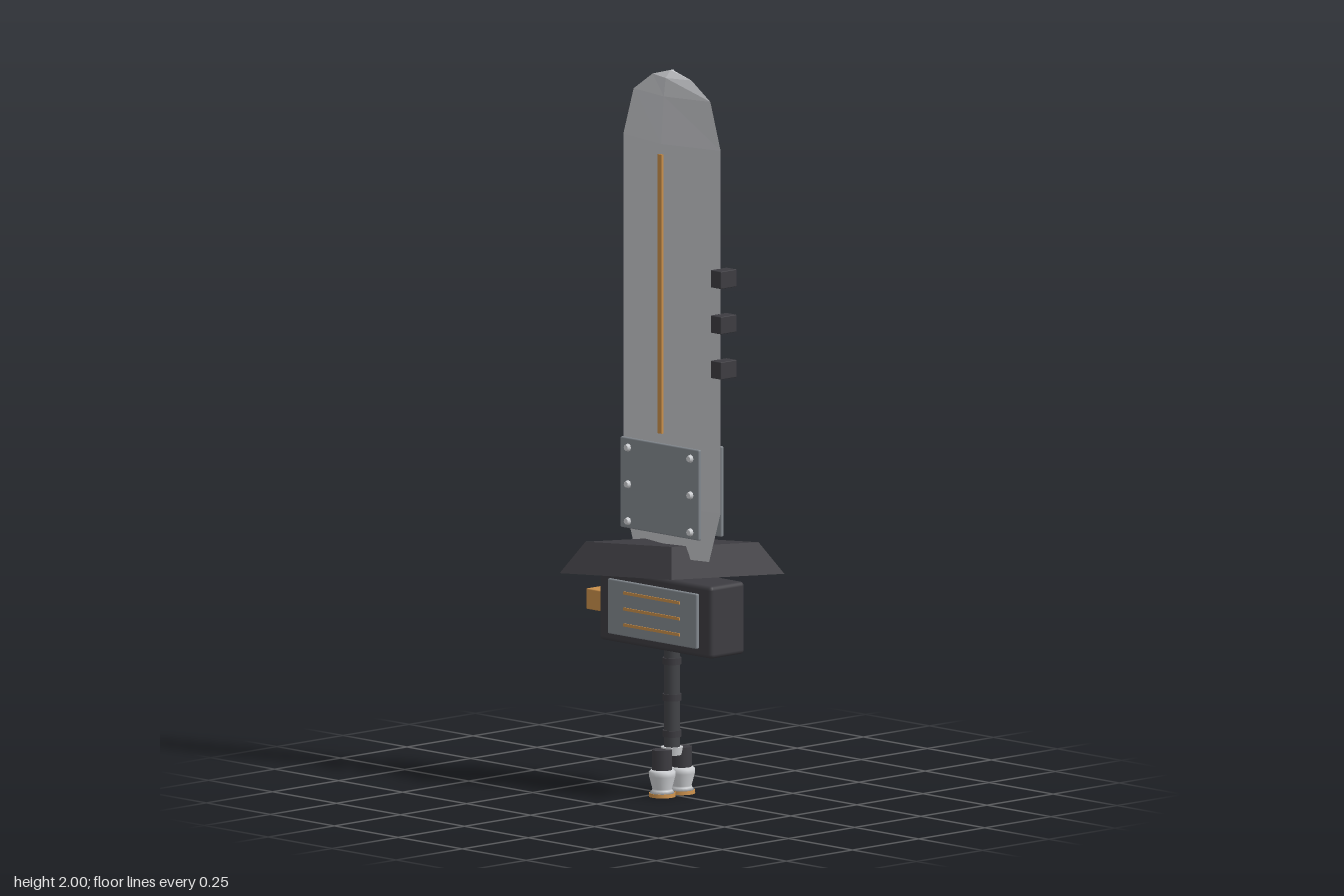
import * as THREE from 'three';
import { RoundedBoxGeometry } from 'three/addons/geometries/RoundedBoxGeometry.js';

const CZ = 0.036; // depth of the weapon's axis

const mat = (name, color, extra = {}) => {
  const m = new THREE.MeshStandardMaterial({ color, ...extra });
  m.name = name;
  return m;
};

// Loft closed rings of equal length into a faceted, capped solid
function loft(rings) {
  const n = rings[0].length, pos = [];
  const tri = (a, b, c) => pos.push(...a, ...b, ...c);
  for (let i = 0; i < rings.length - 1; i++) {
    for (let j = 0; j < n; j++) {
      const k = (j + 1) % n;
      const a = rings[i][j], b = rings[i][k], c = rings[i + 1][k], d = rings[i + 1][j];
      tri(a, d, c);
      tri(a, c, b);
    }
  }
  const lo = rings[0], hi = rings[rings.length - 1];
  for (let j = 1; j < n - 1; j++) {
    tri(lo[0], lo[j], lo[j + 1]);
    tri(hi[0], hi[j + 1], hi[j]);
  }
  const g = new THREE.BufferGeometry();
  g.setAttribute('position', new THREE.Float32BufferAttribute(pos, 3));
  g.computeVertexNormals();
  return g;
}

export function createModel() {
  const root = new THREE.Group();
  root.name = 'sword';
  const steel = mat('blade steel', 0xc4c5c9);
  const plate = mat('plate grey', 0x82888e);
  const dark = mat('dark metal', 0x3d3c41);
  const gripMat = mat('grip grey', 0x424347);
  const amber = mat('amber', 0xc98f4a);
  const pale = mat('pale metal', 0xcfd1d4);

  const add = (name, geo, material, x = 0, y = 0, z = CZ) => {
    const m = new THREE.Mesh(geo, material);
    m.name = name;
    m.position.set(x, y, z);
    root.add(m);
    return m;
  };
  const box = (w, h, d, r = 0) => r
    ? new RoundedBoxGeometry(w, h, d, 2, r) : new THREE.BoxGeometry(w, h, d);

  // Diamond-section blade: height, half depth, half thickness
  const sections = [
    [0.66, 0.145, 0.032], [0.70, 0.158, 0.034], [0.80, 0.19, 0.041], [1.80, 0.19, 0.041],
    [1.93, 0.15, 0.031], [1.98, 0.076, 0.024], [2.0, 0.002, 0.006],
  ];
  add('blade', loft(sections.map(([y, d, t]) =>
    [[t, y, 0], [0, y, d], [-t, y, 0], [0, y, -d]])), steel);

  // Guard: a tapering rhombus set diagonally
  const rhombus = (y, s) => [[0.216, 0.216], [-0.071, 0.071], [-0.216, -0.216], [0.071, -0.071]]
    .map(([x, z]) => [x * s, y, z * s]);
  add('guard', loft([rhombus(0.61, 1), rhombus(0.697, 0.77)]), dark);

  // Engine housing and rear plug
  add('housing', box(0.13, 0.2, 0.44, 0.012), dark, 0, 0.508);
  add('rearPlug', box(0.077, 0.057, 0.09, 0.003), amber, 0, 0.508, -0.215);

  // Teeth on the front edge of the blade
  for (const y of [1.2, 1.325, 1.45]) add('edgeTooth', box(0.06, 0.048, 0.04, 0.002), dark, 0, y, 0.238);

  // Details mirrored on both flanks
  for (const s of [1, -1]) {
    add('bladeStripe', box(0.012, 0.77, 0.016), amber, s * 0.041, 1.387);
    add('cheekPlate', box(0.011, 0.25, 0.308, 0.004), plate, s * 0.0425, 0.85);
    for (const y of [0.745, 0.847, 0.948]) {
      for (const z of [-0.122, 0.122]) {
        const bolt = add('bolt', new THREE.CylinderGeometry(0.008, 0.012, 0.01, 8), pale, s * 0.052, y, CZ + z);
        bolt.rotation.z = -s * Math.PI / 2;
      }
    }
    add('housingPanel', box(0.012, 0.152, 0.348, 0.004), plate, s * 0.07, 0.508);
    for (const y of [0.464, 0.508, 0.552]) {
      add('housingStripe', box(0.008, 0.008, 0.22), amber, s * 0.0755, y);
    }
  }

  // Grip with rings
  add('grip', new THREE.CylinderGeometry(0.022, 0.022, 0.29, 16), gripMat, 0, 0.27);
  for (const y of [0.17, 0.27, 0.37]) {
    add('gripRing', new THREE.CylinderGeometry(0.026, 0.026, 0.018, 16), dark, 0, y);
  }
  add('collar', new THREE.CylinderGeometry(0.03, 0.026, 0.022, 16), pale, 0, 0.122);

  // Twin exhausts below the grip
  const cup = [[0, 0.074], [0.03, 0.074], [0.037, 0.068], [0.036, 0.056], [0.027, 0.022],
    [0.028, 0.018], [0.035, 0.009], [0, 0.009]].reverse().map(([r, y]) => new THREE.Vector2(r, y));
  const cupMat = mat('pale metal', 0xcfd1d4);
  cupMat.dispose();
  for (const s of [1, -1]) {
    add('exhaustNeck', new THREE.CylinderGeometry(0.028, 0.028, 0.058, 12), dark, s * 0.037, 0.1);
    add('exhaustCup', new THREE.LatheGeometry(cup, 20), pale, s * 0.037);
    add('exhaustRim', new THREE.CylinderGeometry(0.036, 0.037, 0.01, 20), amber, s * 0.037, 0.005);
  }
  return root;
}
